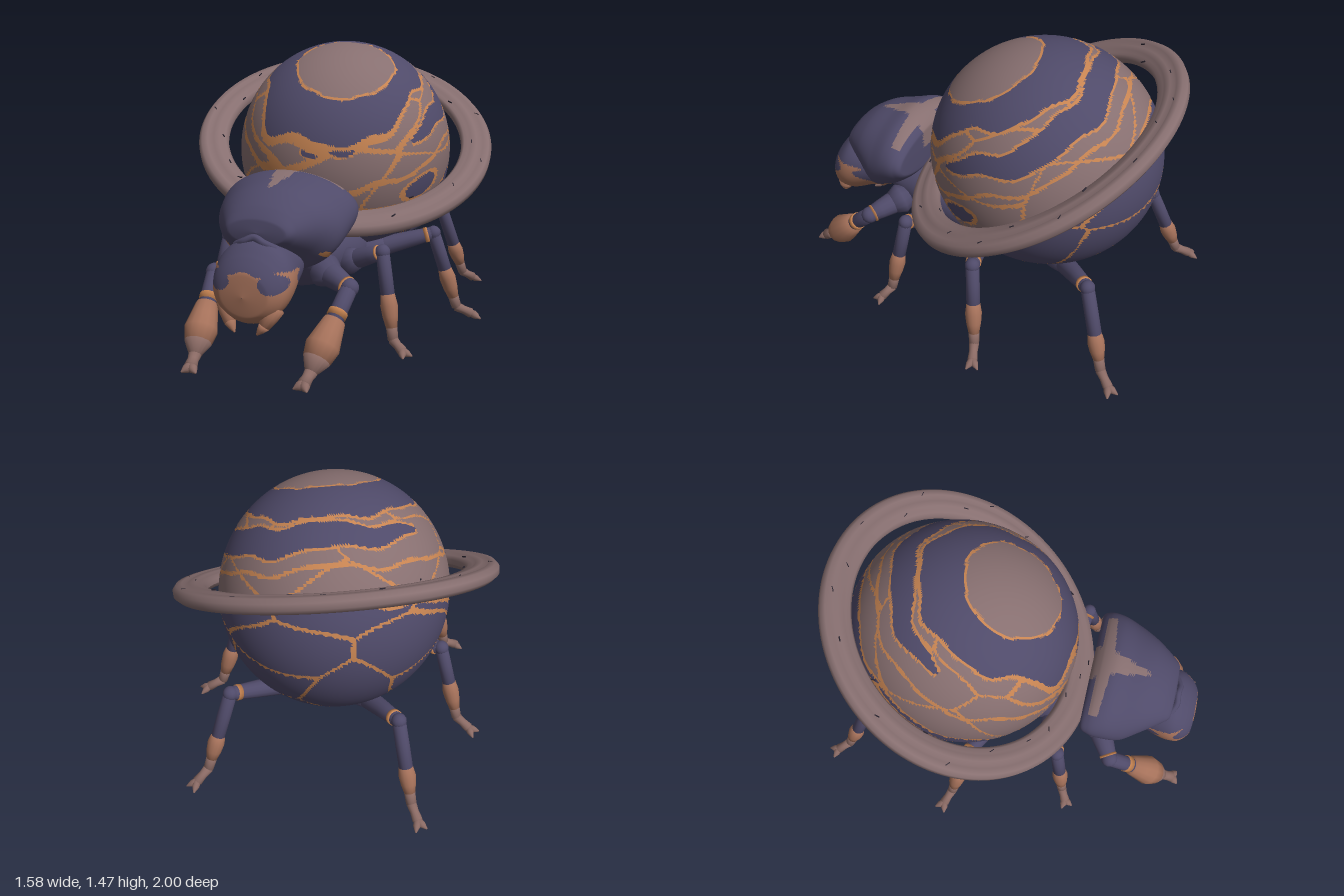
import * as THREE from 'three';

const mat = (name, color) => Object.assign(new THREE.MeshStandardMaterial({ color }), { name });
const indigo = mat('indigo shell', 0x4f4a69);
const mauve = mat('mauve stone', 0x876f70);
const orange = mat('orange crack', 0xc78452);
const copper = mat('copper', 0xa5715a);
const umber = mat('umber foot', 0x8a6a64);
const dark = mat('dark seam', 0x2a2530);
const V = (x, y, z) => new THREE.Vector3(x, y, z);

function add(parent, name, geo, material) {
  const m = new THREE.Mesh(geo, material);
  m.name = name;
  parent.add(m);
  return m;
}

// Sort the faces of an indexed geometry into colour groups by a rule on the face centre
function paint(geo, mats, rule) {
  const p = geo.attributes.position, idx = geo.index.array, buckets = mats.map(() => []);
  for (let i = 0; i < idx.length; i += 3) {
    const c = V(0, 0, 0);
    for (let k = 0; k < 3; k++) c.add(V(p.getX(idx[i + k]), p.getY(idx[i + k]), p.getZ(idx[i + k])));
    buckets[mats.indexOf(rule(c.divideScalar(3)))].push(idx[i], idx[i + 1], idx[i + 2]);
  }
  geo.setIndex(buckets.flat());
  let start = 0;
  buckets.forEach((b, i) => { geo.addGroup(start, b.length, i); start += b.length; });
  return geo;
}

// Smooth body through elliptical sections [z, centre y, half width, half height], from back to front
function loft(sections, nu = 48, nv = 48) {
  const centre = new THREE.CatmullRomCurve3(sections.map(s => V(0, s[1], s[0])));
  const size = new THREE.CatmullRomCurve3(sections.map(s => V(s[2], s[3], s[0])));
  const pos = [], index = [];
  for (let j = 0; j <= nv; j++) {
    const c = centre.getPoint(j / nv), r = size.getPoint(j / nv);
    for (let i = 0; i < nu; i++) {
      const a = i / nu * Math.PI * 2;
      pos.push(Math.cos(a) * Math.max(r.x, 0.001), c.y + Math.sin(a) * Math.max(r.y, 0.001), c.z);
      if (j < nv) {
        const k = (i + 1) % nu, p = j * nu, q = p + nu;
        index.push(p + i, p + k, q + i, p + k, q + k, q + i);
      }
    }
  }
  const g = new THREE.BufferGeometry();
  g.setAttribute('position', new THREE.Float32BufferAttribute(pos, 3));
  g.setIndex(index);
  g.computeVertexNormals();
  return g;
}

// Round limb piece from a to b with evenly spaced radii and closed ends
function segment(parent, name, a, b, radii, material) {
  const len = a.distanceTo(b), n = radii.length - 1;
  const pts = [new THREE.Vector2(0, -radii[0] * 0.4)];
  radii.forEach((r, i) => pts.push(new THREE.Vector2(r, len * i / n)));
  pts.push(new THREE.Vector2(0, len + radii[n] * 0.4));
  const m = add(parent, name, new THREE.LatheGeometry(pts, 14), material);
  m.position.copy(a);
  m.quaternion.setFromUnitVectors(V(0, 1, 0), b.clone().sub(a).normalize());
}

// Leg: hip to knee, two-tone shin, ankle, foot and claws
function leg(name, hip, knee, ankle, toe, s, split, shin) {
  const g = new THREE.Group();
  g.name = name;
  const mid = knee.clone().lerp(ankle, split), low = knee.clone().lerp(ankle, 0.86);
  segment(g, 'hipJoint', hip.clone().lerp(knee, -0.25), hip.clone().lerp(knee, 0.3), [0.05 * s, 0.07 * s, 0.05 * s], indigo);
  segment(g, 'thigh', hip, knee, [0.045 * s, 0.05 * s, 0.043 * s, 0.034 * s], indigo);
  const ball = add(g, 'knee', new THREE.SphereGeometry(0.038 * s, 14, 10), indigo);
  ball.position.copy(knee);
  segment(g, 'kneeBand', hip.clone().lerp(knee, 0.87), hip.clone().lerp(knee, 0.92), [0.04 * s, 0.04 * s], orange);
  segment(g, 'upperShin', knee, mid, [0.034 * s, 0.035 * s, 0.035 * s], indigo);
  segment(g, 'lowerShin', mid, low, shin.map(r => r * s), copper);
  segment(g, 'ankle', low, ankle, [shin[3] * s, 0.026 * s], umber);
  const tip = ankle.clone().lerp(toe, 0.62), dir = toe.clone().sub(ankle).setY(0).normalize();
  segment(g, 'foot', ankle, tip, [0.026 * s, 0.022 * s, 0.026 * s], umber);
  for (const k of [-1, 1]) {
    const side = V(dir.z, 0, -dir.x).multiplyScalar(0.03 * s * k);
    segment(g, 'claw', tip, toe.clone().add(side), [0.02 * s, 0.018 * s, 0.004], umber);
  }
  return g;
}

// Cell centres that give the crack pattern of the globe
const cells = Array.from({ length: 28 }, (_, i) => {
  const y = 1 - 2 * (i + 0.5) / 28, r = Math.sqrt(1 - y * y), a = i * 2.4 + Math.sin(i * 5.1) * 0.35;
  return V(Math.sin(a) * r, y * 1.8, Math.cos(a) * r);
});
const bump = (f, at, width) => Math.exp(-(((f - at) / width) ** 2));

// Bands run around the tilted axis, with long cracks between the plates
function globeColour(p) {
  const d = p.clone().normalize(), t = Math.acos(d.y), f = Math.atan2(d.x, d.z);
  const wob = 0.03 * Math.sin(3 * f + 1) + 0.025 * Math.sin(7 * f) + 0.012 * Math.sin(13 * f + 2);
  const e1 = 0.81 + 0.06 * Math.cos(2 * f) - 0.04 * Math.sin(f) + 0.02 * Math.cos(f) + wob
    + 0.13 * bump(f, -0.6, 0.24) + 0.06 * bump(f, 0.85, 0.3) - 0.05 * bump(f, 0, 0.3);
  const e2 = 1.28 + wob, e3 = 1.66 + 0.12 * Math.cos(f + 0.1) + wob;
  const front = Math.max(0, Math.cos(f)) ** 2;
  if (t < 0.45 + wob * 0.3) return mauve;
  if (t < 0.475 + wob * 0.3) return orange;
  if (t < e1) return indigo;
  if (t < e1 + 0.03 + 0.08 * front) return Math.hypot((f - 0.35) / 0.14, (t - e1 - 0.06) / 0.025) < 1 ? indigo : orange;
  // Second dark band from the left side round the back
  const u = ((f + Math.PI * 2) % (Math.PI * 2) - 1.15) / 3.2;
  if (u > 0 && u < 1) {
    const off = Math.abs(t - 1.02 - wob) - 0.12 * Math.sqrt(Math.sin(u * Math.PI));
    if (off < 0) return indigo;
    if (off < 0.025) return orange;
  }
  // Small dark islands
  const island = Math.min(Math.hypot(f / 0.1, (t - 0.99) / 0.04), Math.hypot((f - 1.15) / 0.2, (t - 1.44) / 0.09));
  if (island < 1) return indigo;
  if (island < 1.3 || Math.abs(t - e2) < 0.016 + 0.02 * front || Math.abs(t - e3) < 0.018) return orange;
  const q = V(d.x + 0.06 * Math.sin(d.y * 9), 1.8 * (d.y + 0.05 * Math.sin(f * 5)), d.z + 0.06 * Math.sin(d.x * 8));
  let a = 9, b = 9;
  for (const c of cells) {
    const h = q.distanceTo(c);
    if (h < a) { b = a; a = h; } else if (h < b) b = h;
  }
  if (b - a < (t < e2 ? 0.025 + 0.06 * front : 0.036)) return orange;
  return t < e3 ? mauve : indigo;
}

export function createModel() {
  const model = new THREE.Group();
  model.name = 'ringedBeetle';
  const tilt = new THREE.Quaternion().setFromUnitVectors(V(0, 1, 0), V(0.18, 0.87, 0.46).normalize());

  // Globe abdomen with sunken cracks
  const globe = new THREE.SphereGeometry(0.58, 256, 150), gp = globe.attributes.position;
  for (let i = 0; i < gp.count; i++) {
    const v = V(0, 0, 0).fromBufferAttribute(gp, i);
    if (globeColour(v) === orange) v.multiplyScalar(0.992);
    gp.setXYZ(i, v.x, v.y, v.z);
  }
  const globeMats = [indigo, mauve, orange];
  const abdomen = new THREE.Group();
  abdomen.name = 'abdomen';
  abdomen.position.set(-0.005, 0.905, -0.295);
  abdomen.scale.set(0.975, 0.995, 1.02);
  add(abdomen, 'globe', paint(globe, globeMats, globeColour), globeMats).quaternion.copy(tilt);
  model.add(abdomen);

  // Grooved ring on the same axis
  const ring = new THREE.Group();
  ring.name = 'ring';
  ring.position.set(-0.008, 0.96, -0.284);
  ring.quaternion.copy(tilt);
  ring.scale.set(1, 1.1, 0.965);
  const profile = [[0.635, -0.01], [0.655, -0.03], [0.71, -0.038], [0.77, -0.034], [0.795, -0.015], [0.797, 0.012],
    [0.78, 0.032], [0.75, 0.036], [0.735, 0.026], [0.715, 0.036], [0.685, 0.034], [0.67, 0.024], [0.65, 0.027],
    [0.635, 0.012], [0.635, -0.01]].map(p => new THREE.Vector2(...p));
  add(ring, 'ringBand', new THREE.LatheGeometry(profile, 128), mauve);
  for (let i = 0; i < 22; i++) {
    const a = i * 2.4, r = 0.7 + 0.06 * Math.sin(i * 3.7);
    const s = add(ring, 'ringFleck', new THREE.BoxGeometry(0.025, 0.006, 0.004), dark);
    s.position.set(Math.sin(a) * r, 0.034, Math.cos(a) * r);
    s.rotation.y = a + (i % 3) * 0.4;
  }
  model.add(ring);

  // Chest and underside
  add(model, 'chest', loft([[-0.4, 0.42, 0, 0], [-0.2, 0.42, 0.19, 0.1], [0, 0.43, 0.23, 0.165], [0.2, 0.45, 0.22, 0.17],
    [0.42, 0.48, 0.19, 0.16], [0.6, 0.53, 0.14, 0.09], [0.66, 0.53, 0, 0]]), indigo);

  // Neck shield with a pale branching mark
  const shieldMats = [indigo, mauve, orange];
  const shield = loft([[0.382, 0.73, 0, 0], [0.385, 0.73, 0.31, 0.11], [0.43, 0.725, 0.34, 0.165], [0.5, 0.705, 0.34, 0.205],
    [0.6, 0.665, 0.315, 0.22], [0.7, 0.685, 0.255, 0.17], [0.79, 0.685, 0.19, 0.11], [0.835, 0.68, 0.145, 0.06],
    [0.845, 0.68, 0, 0]], 88, 88);
  add(model, 'neckShield', paint(shield, shieldMats, c => {
    const x = Math.abs(c.x);
    if (Math.hypot(x - 0.25, c.y - 0.55) < 0.018 && c.z > 0.5) return orange;
    const stem = x < 0.07 * (0.71 - c.z) / 0.25;
    const arm = c.z > 0.415 && c.z < 0.49 - x * 0.1 && x < 0.27;
    return c.y > 0.74 && (stem || arm) ? mauve : indigo;
  }), shieldMats);

  // Head with copper face and dark eye patches
  const headMats = [indigo, copper];
  const head = loft([[0.55, 0.5, 0, 0], [0.6, 0.5, 0.13, 0.1], [0.74, 0.49, 0.175, 0.15], [0.86, 0.465, 0.195, 0.185],
    [0.93, 0.435, 0.175, 0.155], [0.975, 0.42, 0.12, 0.1], [0.988, 0.415, 0, 0]], 80, 80);
  add(model, 'head', paint(head, headMats, c => {
    const eye = Math.hypot((Math.abs(c.x) - 0.13) / 0.06, (c.y - 0.48) / 0.045) < 1;
    return c.y < 0.52 - 0.25 * Math.max(0, 0.8 - c.z) + 0.01 * Math.cos(c.x * 40) && !eye && c.z > 0.64 ? copper : indigo;
  }), headMats);
  const brow = new THREE.CatmullRomCurve3([V(-0.1, 0.615, 0.84), V(-0.05, 0.64, 0.86), V(0, 0.66, 0.855),
    V(0.05, 0.64, 0.86), V(0.1, 0.615, 0.84)]);
  add(model, 'brow', new THREE.TubeGeometry(brow, 24, 0.018, 8), indigo);

  for (const s of [1, -1]) {
    const P = (x, y, z) => V(x * s, y, z);
    const side = s > 0 ? 'left' : 'right';

    // Eyes and jaws
    const eye = add(model, side + 'Eye', new THREE.SphereGeometry(0.034, 16, 12), indigo);
    eye.position.set(0.132 * s, 0.48, 0.9);
    segment(model, side + 'Jaw', P(0.125, 0.36, 0.9), P(0.085, 0.28, 0.94), [0.045, 0.04, 0.028], copper);
    segment(model, side + 'JawTip', P(0.085, 0.28, 0.94), P(0.055, 0.24, 0.955), [0.028, 0.018, 0.004], copper);

    // Four legs a side
    const slim = [0.035, 0.043, 0.038, 0.028];
    model.add(
      leg(side + 'FrontLeg', P(0.19, 0.43, 0.48), P(0.355, 0.39, 0.58), P(0.295, 0.08, 0.9), P(0.28, 0.025, 0.99), 1.2, 0.4,
        [0.044, 0.056, 0.068, 0.055]),
      leg(side + 'SecondLeg', P(0.22, 0.42, 0.24), P(0.42, 0.5, 0.3), P(0.5, 0.08, 0.36), P(0.59, 0.02, 0.41), 1, 0.48, slim),
      leg(side + 'ThirdLeg', P(0.2, 0.4, -0.04), P(0.54, 0.5, -0.17), P(0.655, 0.09, -0.24), P(0.77, 0.03, -0.29), 1, 0.48, slim),
      leg(side + 'RearLeg', P(0.15, 0.38, -0.45), P(0.42, 0.51, -0.74), P(0.52, 0.1, -0.88), P(0.59, 0.03, -0.98), 1, 0.55, slim));

    // Orange cuff on the front shin
    segment(model, side + 'ShinCuff', P(0.337, 0.3, 0.673), P(0.333, 0.28, 0.694), [0.047, 0.047], orange);
  }
  return model;
}
